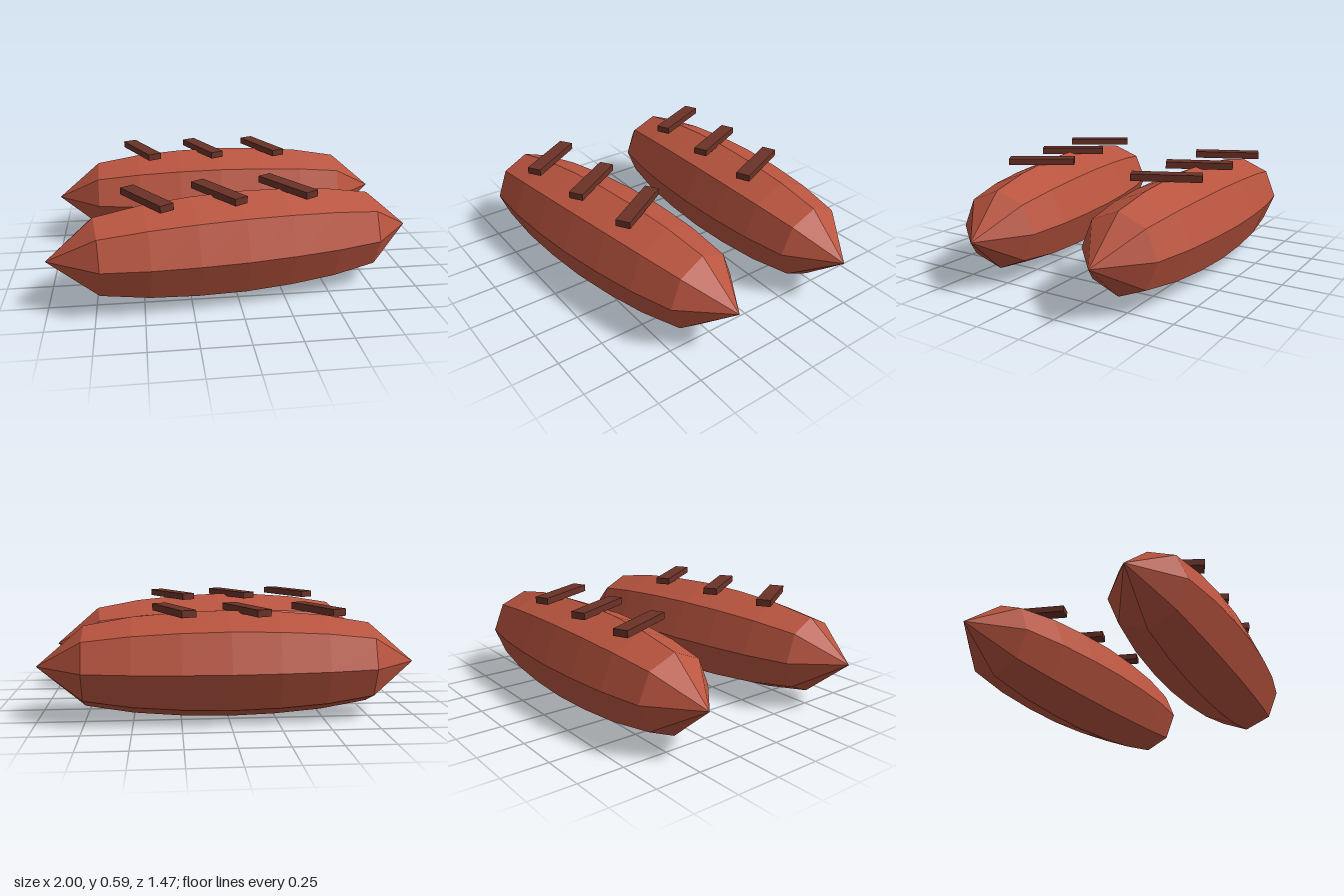
import * as THREE from 'three';

const skin = new THREE.MeshStandardMaterial({ color: 0xb9543f, flatShading: true });
const char = new THREE.MeshStandardMaterial({ color: 0x6b3227, flatShading: true });

// Eight-sided body with pointed ends, lying along x
function bodyGeometry() {
  const profile = [
    [0, -1], [0.213, -0.75], [0.256, -0.5], [0.277, -0.25], [0.285, 0],
    [0.277, 0.25], [0.256, 0.5], [0.213, 0.75], [0, 1],
  ].map(([r, y]) => new THREE.Vector2(r, y));
  return new THREE.LatheGeometry(profile, 8).rotateZ(-Math.PI / 2);
}

function createSausage(name, z, turn) {
  const sausage = new THREE.Group();
  sausage.name = name;

  const body = new THREE.Mesh(bodyGeometry(), skin);
  body.name = 'body';
  sausage.add(body);

  // Three slanted grill marks resting on the top ridge
  for (let i = 0; i < 3; i++) {
    const mark = new THREE.Mesh(new THREE.BoxGeometry(0.08, 0.037, 0.37), char);
    mark.name = 'grillMark' + (i + 1);
    mark.position.set(-0.475 + i * 0.38, 0.289, 0);
    mark.rotation.y = 0.42;
    sausage.add(mark);
  }

  sausage.position.set(0, 0.285, z);
  sausage.rotation.y = turn;
  return sausage;
}

export function createModel() {
  const model = new THREE.Group();
  model.name = 'sausages';
  model.add(createSausage('backSausage', -0.45, 0));
  model.add(createSausage('frontSausage', 0.407, 0.14));
  return model;
}
